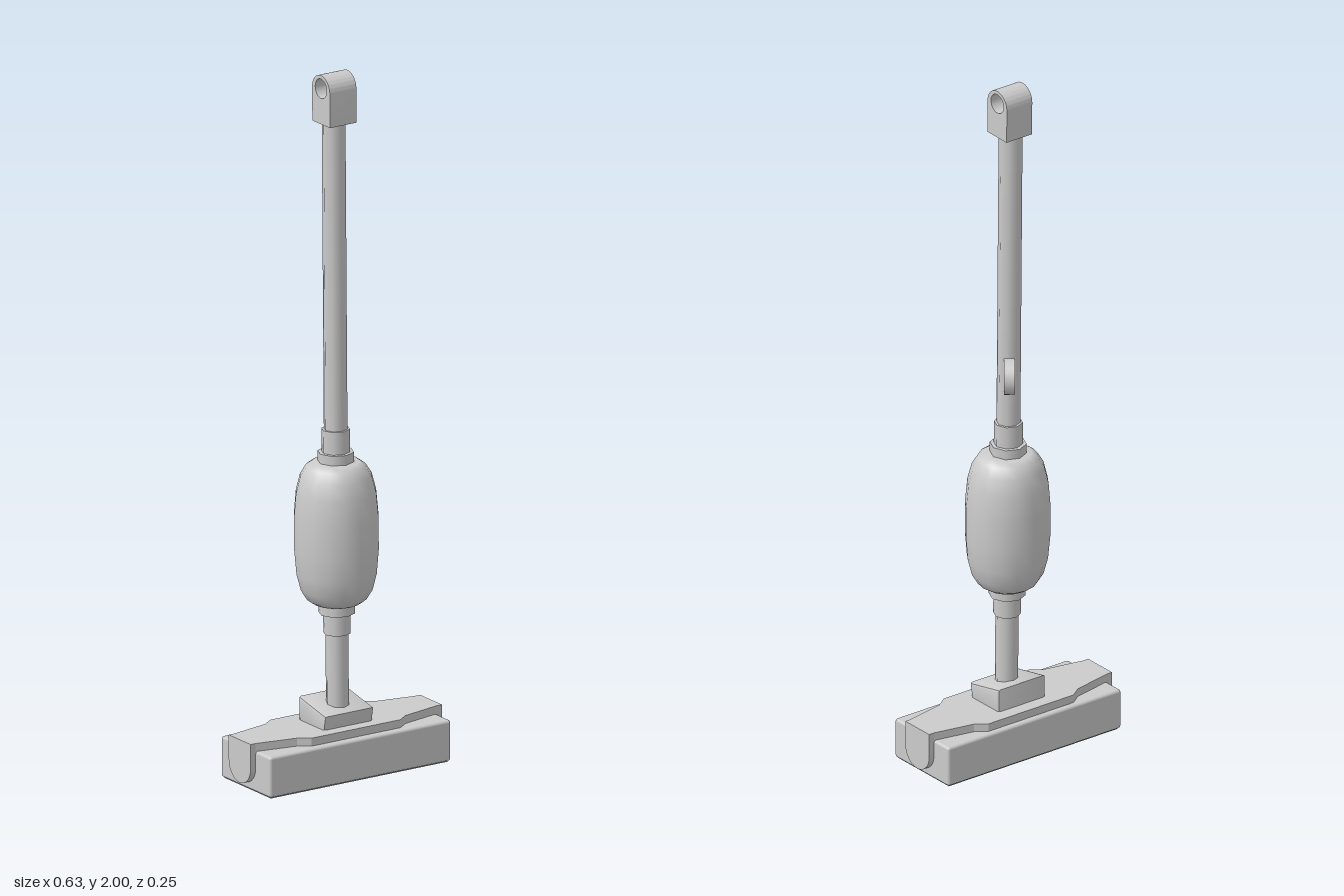
import * as THREE from 'three';
import { toCreasedNormals } from 'three/addons/utils/BufferGeometryUtils.js';
import { RoundedBoxGeometry } from 'three/addons/geometries/RoundedBoxGeometry.js';

export function createModel() {
  const model = new THREE.Group();
  model.name = 'uprightCleaner';
  const grey = new THREE.MeshStandardMaterial({ color: 0xcccccc });

  const add = (parent, name, geometry, x = 0, y = 0, z = 0) => {
    const mesh = new THREE.Mesh(geometry, grey);
    mesh.name = name;
    mesh.position.set(x, y, z);
    parent.add(mesh);
    return mesh;
  };
  const polygon = (points) => new THREE.Shape(points.map(([x, y]) => new THREE.Vector2(x, y)));

  // Extrudes a (z, y) side profile across x, centred, with an optional bevel
  const across = (shape, width, bevel = 0) => {
    const g = new THREE.ExtrudeGeometry(shape, {
      depth: width - 2 * bevel, bevelEnabled: bevel > 0, bevelThickness: bevel,
      bevelSize: bevel, bevelOffset: -bevel, bevelSegments: 2, curveSegments: 12,
    });
    g.translate(0, 0, -(width - 2 * bevel) / 2);
    g.rotateY(-Math.PI / 2);
    return toCreasedNormals(g, 0.6);
  };

  // Floor head
  const head = new THREE.Group();
  head.name = 'floorHead';
  model.add(head);
  add(head, 'headBody', new RoundedBoxGeometry(0.6, 0.117, 0.24, 2, 0.008), 0, 0.0615, 0.003);
  add(head, 'headSole', new THREE.BoxGeometry(0.585, 0.02, 0.225), 0, 0.01, 0.003);

  // Tapering cover plate, outlined in plan from a mirrored half profile
  const half = [[0.317, 0.053], [0.3, 0.053], [0.18, 0.077], [0.147, 0.1]];
  const mirrorX = half.map(([x, z]) => [-x, z]).reverse();
  const edge = [...half, ...mirrorX];
  const outline = [...edge, ...edge.map(([x, z]) => [x, -z]).reverse()];
  const plate = new THREE.ExtrudeGeometry(polygon(outline), { depth: 0.03, bevelEnabled: false });
  plate.rotateX(-Math.PI / 2);
  add(head, 'coverPlate', plate, 0, 0.113, 0);

  // Round-bottomed end caps
  for (const [side, name] of [[1, 'leftEndCap'], [-1, 'rightEndCap']]) {
    const cap = new THREE.Shape();
    cap.moveTo(-0.053, 0.143);
    cap.lineTo(-0.053, 0.073);
    cap.absarc(0, 0.073, 0.053, Math.PI, 2 * Math.PI, false);
    cap.lineTo(0.053, 0.143);
    add(head, name, across(cap, 0.04), side * 0.297, 0, 0);
  }

  // Neck block with a sloping top
  const neck = polygon([[0.06, 0.125], [0.07, 0.183], [-0.06, 0.209], [-0.06, 0.125]]);
  add(head, 'neckBlock', across(neck, 0.162, 0.008));

  // Everything above the neck leans back very slightly
  const upper = new THREE.Group();
  upper.name = 'upperAssembly';
  upper.position.z = 0.012;
  upper.rotation.x = -0.011;
  model.add(upper);

  const tubes = [
    ['lowerPole', 0.032, 0.16, 0.41],
    ['lowerSleeve', 0.038, 0.395, 0.46],
    ['lowerCollar', 0.051, 0.453, 0.49],
    ['upperCollar', 0.051, 0.88, 0.915],
    ['upperSleeve', 0.04, 0.91, 0.98],
    ['upperPole', 0.033, 0.97, 1.87],
  ];
  for (const [name, radius, bottom, top] of tubes) {
    const g = new THREE.CylinderGeometry(radius, radius, top - bottom, 8);
    add(upper, name, g, 0, (bottom + top) / 2, 0);
  }

  // Motor body, a capsule symmetrical about its middle
  const rise = [[0.118, 0.045], [0.112, 0.115], [0.1, 0.162], [0.083, 0.19], [0.065, 0.202], [0, 0.204]];
  const profile = [...rise.map(([r, y]) => [r, -y]).reverse(), ...rise];
  const body = new THREE.LatheGeometry(profile.map(([r, y]) => new THREE.Vector2(r, y)), 16);
  add(upper, 'motorBody', body, 0, 0.685, 0);

  // Arched grip with a cross hole
  const grip = new THREE.Shape();
  grip.moveTo(-0.043, 1.86);
  grip.lineTo(0.043, 1.86);
  grip.lineTo(0.043, 1.957);
  grip.absarc(0, 1.957, 0.043, 0, Math.PI, false);
  grip.lineTo(-0.043, 1.86);
  const hole = new THREE.Path();
  hole.absarc(0, 1.962, 0.028, 0, 2 * Math.PI, true);
  grip.holes.push(hole);
  add(upper, 'grip', across(grip, 0.088), 0, 0, 0.004);

  // Cord disc on a short bracket, standing off the pole at an angle
  const cord = new THREE.Group();
  cord.name = 'cordHolder';
  cord.position.set(0, 1.162, 0);
  cord.rotation.y = Math.atan2(0.8, 0.6);
  model.add(cord);
  const disc = new THREE.CylinderGeometry(0.05, 0.05, 0.03, 20);
  disc.rotateX(Math.PI / 2);
  add(cord, 'cordDisc', disc, 0.093, 0, 0);
  add(cord, 'cordBracket', new THREE.BoxGeometry(0.06, 0.045, 0.022), 0.05, 0, 0);

  return model;
}
